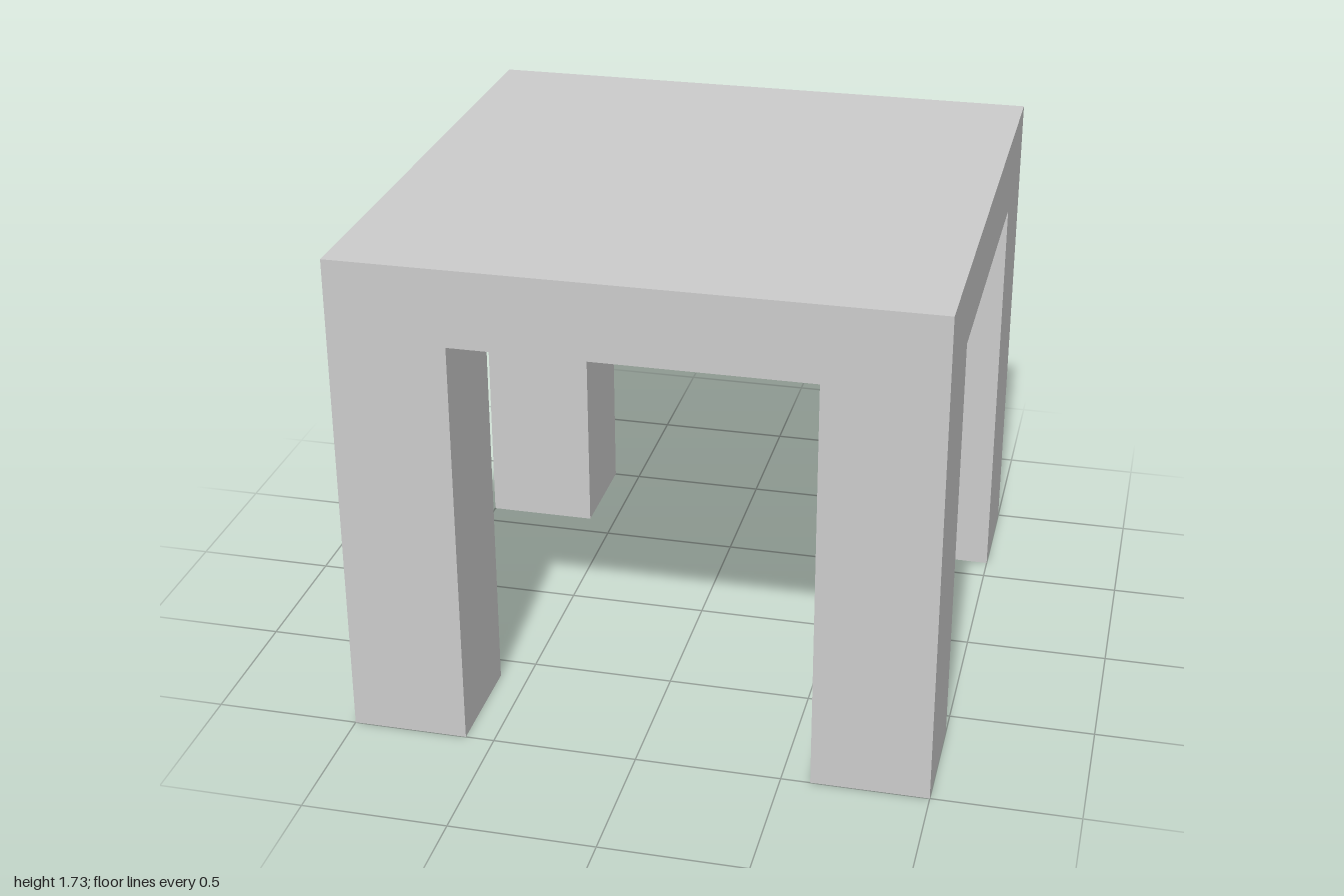
import * as THREE from 'three';

const SIZE = 2, HEIGHT = 1.73, UNDERSIDE = 1.465, LEG = 0.4;

export function createModel() {
  const table = new THREE.Group();
  table.name = 'table';
  const material = new THREE.MeshStandardMaterial({ color: 0xcccccc, flatShading: true });

  // Box standing on the given base height
  function addBox(name, width, height, x, base, z) {
    const mesh = new THREE.Mesh(new THREE.BoxGeometry(width, height, width), material);
    mesh.name = name;
    mesh.position.set(x, base + height / 2, z);
    table.add(mesh);
  }

  // Thick square top
  addBox('tableTop', SIZE, HEIGHT - UNDERSIDE, 0, UNDERSIDE, 0);

  // Square legs, flush with the corners of the top
  const offset = (SIZE - LEG) / 2;
  for (const [end, z] of [['front', 1], ['back', -1]]) {
    for (const [side, x] of [['Left', 1], ['Right', -1]]) {
      addBox(`${end}${side}Leg`, LEG, UNDERSIDE, x * offset, 0, z * offset);
    }
  }

  return table;
}
